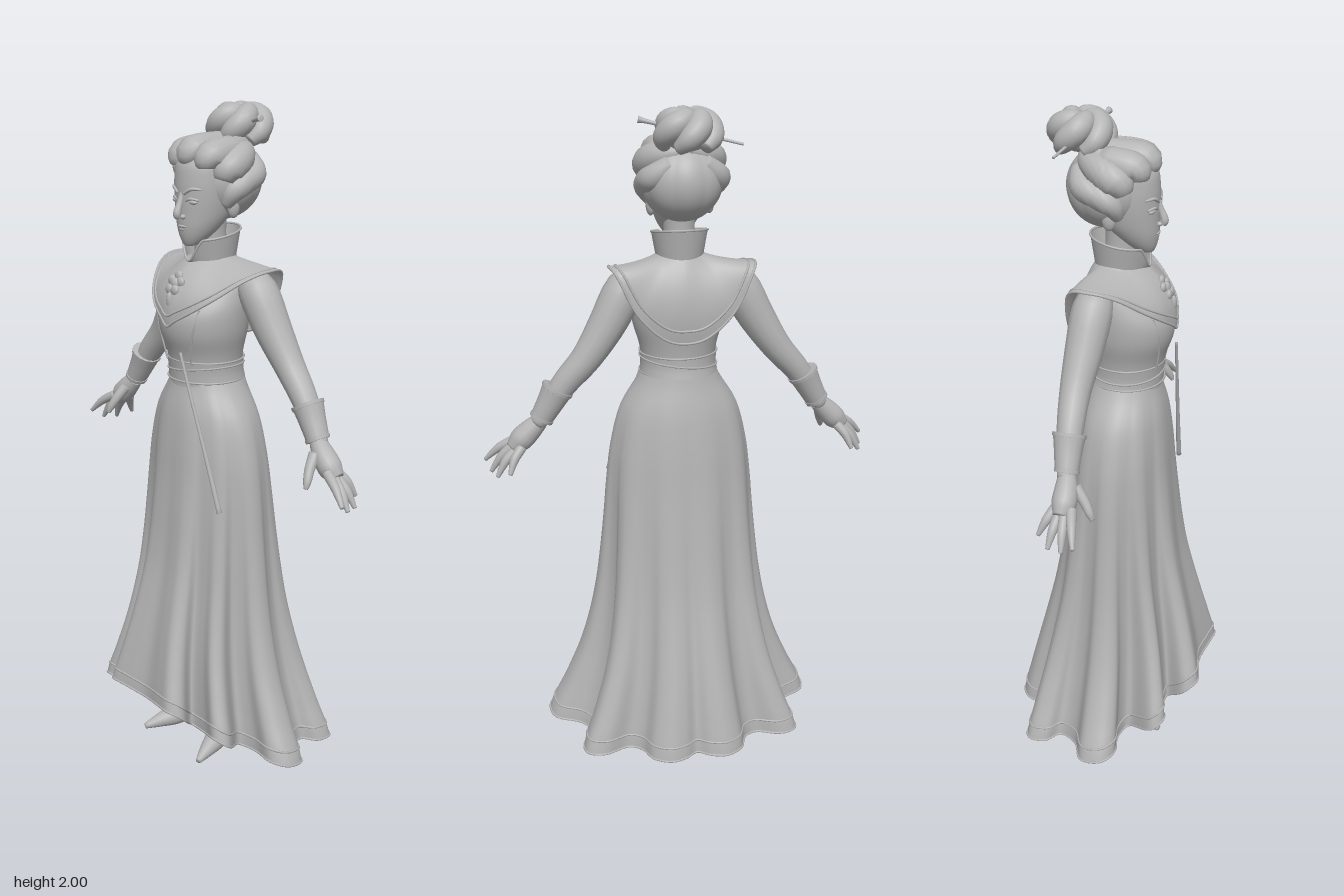
import * as THREE from 'three';

const grey = new THREE.MeshStandardMaterial({ color: 0xb4b4b4, side: THREE.DoubleSide });
grey.name = 'plain grey';
const V = (x, y, z) => new THREE.Vector3(x, y, z);
const TAU = Math.PI * 2;
const step = THREE.MathUtils.smoothstep;

// Smooth interpolation through rows of numbers, u from 0 to 1
function sample(rows, u, closed = false) {
  const n = rows.length, spans = closed ? n : n - 1;
  const i = Math.min(Math.floor(u * spans), spans - 1), t = u * spans - i;
  const at = k => rows[closed ? (k + n) % n : Math.min(Math.max(k, 0), n - 1)];
  const [a, b, c, d] = [at(i - 1), at(i), at(i + 1), at(i + 2)];
  return b.map((v, k) => 0.5 * (2 * v + (c[k] - a[k]) * t + (2 * a[k] - 5 * v + 4 * c[k] - d[k]) * t * t
    + (3 * v - a[k] - 3 * c[k] + d[k]) * t * t * t));
}

// Half outline from front to back, mirrored into a closed loop
const mirrored = half => half.concat(half.slice(1, -1).reverse().map(([x, ...r]) => [-x, ...r]));

// Skin over closed rings: point(u, v), u around from the front, v from bottom to top
function loft(name, nu, nv, point) {
  const pos = [], idx = [];
  for (let i = 0; i <= nv; i++) for (let j = 0; j < nu; j++) {
    pos.push(...point(j / nu, i / nv).toArray());
    if (i === nv) continue;
    const a = i * nu + j, b = i * nu + (j + 1) % nu;
    idx.push(a, b, b + nu, a, b + nu, a + nu);
  }
  const g = new THREE.BufferGeometry();
  g.setAttribute('position', new THREE.Float32BufferAttribute(pos, 3));
  g.setIndex(idx);
  g.computeVertexNormals();
  const m = new THREE.Mesh(g, grey);
  m.name = name;
  return m;
}

// Elliptical body from rows [y, rx, rz, zCentre]
const body = (name, rows, nv = 32) => loft(name, 40, nv, (u, v) => {
  const [y, rx, rz, cz] = sample(rows, v);
  return V(rx * Math.sin(u * TAU), y, cz + rz * Math.cos(u * TAU));
});

// Ellipsoid with an optional ripple
const ball = (name, c, r, ripple = () => 1, n = 24) => loft(name, n, Math.ceil(n / 2), (u, v) => {
  const p = (v - 0.5) * Math.PI, k = ripple(u * TAU), h = Math.cos(p) * k;
  return V(c[0] + r[0] * h * Math.sin(u * TAU), c[1] + r[1] * Math.sin(p), c[2] + r[2] * h * Math.cos(u * TAU));
});

// Rounded limb along rows [x, y, z, radius]
function limb(name, rows, nu = 14, nv = 20) {
  const at = v => sample(rows, Math.min(Math.max(v, 0), 1));
  return loft(name, nu, nv + 2, (u, w) => {
    const k = Math.round(w * (nv + 2)), v = Math.min(Math.max(k - 1, 0), nv) / nv;
    const [x, y, z, r] = at(v);
    const t = V(...at(v + 0.02)).sub(V(...at(v - 0.02))).normalize();
    const e1 = V(0, 0, 1).addScaledVector(t, -t.z);
    if (e1.length() < 0.3) e1.set(0, 1, 0).addScaledVector(t, -t.y);
    e1.normalize();
    const e2 = t.clone().cross(e1), rad = k === 0 || k === nv + 2 ? 0.0005 : r;
    return V(x, y, z).addScaledVector(e1, rad * Math.cos(u * TAU)).addScaledVector(e2, rad * Math.sin(u * TAU));
  });
}

// Thin piping along a curve
function piping(name, pts, r, closed = false, n = 200) {
  const m = new THREE.Mesh(new THREE.TubeGeometry(new THREE.CatmullRomCurve3(pts, closed), n, r, 6, closed), grey);
  m.name = name;
  return m;
}
const loop = (f, n = 120) => Array.from({ length: n }, (_, i) => f(i / n));

// Skirt: scalloped hem [x, z], and [rx, rz] with s from waist to hem
const hem = mirrored([[0, .274], [.08, .288], [.14, .295], [.168, .258], [.135, .2], [.2, .2], [.268, .222], [.3, .185],
  [.245, .105], [.3, .08], [.375, .09], [.42, .055], [.41, -.01], [.335, -.05], [.3, -.11], [.338, -.15], [.335, -.205],
  [.28, -.222], [.21, -.198], [.165, -.22], [.14, -.275], [.09, -.303], [.04, -.293], [0, -.268]]);
const flare = [[.113, .105], [.178, .129], [.21, .144], [.226, .155], [.237, .168], [.25, .182], [.266, .2],
  [.29, .225], [.325, .252], [.375, .278], [.43, .3]];
const hemDrop = [[.05], [.052], [.06], [.073], [.097], [.155], [.235]];
function skirtPoint(u, s) {
  const a = u * TAU, w = Math.pow(s, 1.3);
  const [hx, hz] = sample(hem, u, true), [rx, rz] = sample(flare, s);
  const bottom = sample(hemDrop, THREE.MathUtils.clamp((hz + 0.3) / 0.6, 0, 1))[0];
  return V(rx * THREE.MathUtils.lerp(Math.sin(a), hx / 0.43, w), THREE.MathUtils.lerp(1.225, bottom, s),
    0.02 * (1 - s) + rz * THREE.MathUtils.lerp(Math.cos(a), hz / 0.3, w));
}

// Shoulder cape: pointed outer edge, swelling outward on the way to the neck
const capeEdge = mirrored([[0, 1.385, .172], [.03, 1.404, .168], [.085, 1.437, .15], [.14, 1.478, .11], [.19, 1.528, .045],
  [.214, 1.55, -.025], [.2, 1.535, -.09], [.145, 1.425, -.108], [.07, 1.35, -.108], [0, 1.33, -.106]]);
function capePoint(u, v) {
  const a = u * TAU, k = 4 * v * (1 - v), side = Math.abs(Math.sin(a));
  return V(...sample(capeEdge, u, true)).lerp(V(.066 * Math.sin(a), 1.575, .064 * Math.cos(a)), v)
    .add(V(0, k * (0.015 - 0.02 * side), k * (Math.cos(a) > 0 ? 0.032 : 0.024) * Math.cos(a)));
}

function makeHair() {
  const hair = new THREE.Group();
  hair.name = 'hair';
  hair.add(ball('backHair', [0, 1.79, -.03], [.118, .116, .119], a => 0.98 + 0.03 * Math.abs(Math.cos(a * 4)), 96));
  // Full rolls swept from the hairline back to the bun
  for (let i = -2; i <= 2; i++) {
    const a = i * 0.7, x = Math.sin(a), c = Math.cos(a);
    hair.add(limb('frontRoll', [[.09 * x, 1.785 + .06 * c, .025 + .055 * c, .028], [.09 * x, 1.815 + .056 * c, .01 + .066 * c, .045],
      [.085 * x, 1.845 + .034 * c, -.03 + .03 * c, .044], [.05 * x, 1.865 + .02 * c, -.07, .034], [0, 1.885, -.1, .014]]));
  }
  for (const s of [-1, 1])
    hair.add(limb('sideRoll', [[s * .082, 1.725, .02, .016], [s * .098, 1.765, .005, .032], [s * .1, 1.79, -.035, .036],
      [s * .088, 1.81, -.08, .036], [s * .045, 1.85, -.1, .024]]));
  // Bun of overlapping coils
  hair.add(ball('bunCore', [0, 1.935, -.105], [.07, .055, .07]));
  for (let i = 0; i < 5; i++) {
    const coil = [[0, .064, -.036, .018], [.5, .07, -.008, .031], [1, .058, .022, .036], [1.5, .034, .042, .03], [2.1, .01, .05, .016]];
    hair.add(limb('bunCoil', coil.map(([d, r, y, w]) =>
      [r * Math.sin(i * TAU / 5 + d), 1.93 + y, -.105 + r * Math.cos(i * TAU / 5 + d), w])));
  }
  hair.add(limb('hairpin', [[-.15, 1.9, -.14, .004], [0, 1.935, -.1, .005], [.1, 1.958, -.073, .006], [.13, 1.965, -.065, .01]]));
  return hair;
}

function makeHead() {
  const g = new THREE.Group();
  g.name = 'head';
  g.add(body('face', [[1.608, .004, .004, .09], [1.613, .022, .022, .08], [1.635, .043, .047, .064], [1.665, .061, .068, .048],
    [1.7, .074, .082, .035], [1.75, .083, .088, .03], [1.8, .086, .092, .025], [1.85, .08, .085, .02], [1.9, .04, .04, .01]]));
  g.add(limb('nose', [[0, 1.765, .108, .009], [0, 1.735, .12, .009], [0, 1.705, .131, .012], [0, 1.693, .126, .01]]));
  g.add(ball('upperLip', [0, 1.667, .111], [.019, .005, .008]), ball('lowerLip', [0, 1.658, .107], [.015, .006, .01]));
  for (const s of [-1, 1]) {
    g.add(ball('nostril', [s * .01, 1.695, .118], [.008, .007, .009]));
    g.add(ball('eye', [s * .035, 1.737, .102], [.017, .007, .01]));
    g.add(limb('eyelid', [[s * .017, 1.739, .113, .003], [s * .035, 1.747, .111, .004], [s * .055, 1.743, .097, .003]]));
    g.add(limb('eyebrow', [[s * .013, 1.76, .116, .005], [s * .038, 1.774, .11, .005], [s * .062, 1.773, .093, .003]]));
    g.add(ball('ear', [s * .086, 1.72, -.005], [.014, .032, .02]));
  }
  g.add(makeHair());
  return g;
}

function makeArm(s) {
  const g = new THREE.Group(), L = (name, rows) => g.add(limb(name, rows.map(([x, ...r]) => [s * x, ...r])));
  g.name = s > 0 ? 'leftArm' : 'rightArm';
  L('sleeve', [[.13, 1.515, -.025, .045], [.17, 1.478, -.03, .059], [.222, 1.385, -.038, .055], [.285, 1.29, -.045, .045],
    [.35, 1.215, -.04, .039], [.405, 1.135, -.033, .031], [.435, 1.09, -.028, .025]]);
  L('cuff', [[.374, 1.194, -.036, .046], [.394, 1.157, -.034, .04], [.422, 1.108, -.03, .034]]);
  L('cuffRim', [[.371, 1.199, -.036, .049], [.376, 1.19, -.036, .048]]);
  L('cuffBand', [[.419, 1.113, -.03, .037], [.424, 1.104, -.03, .036]]);
  L('palm', [[.425, 1.1, -.028, .025], [.455, 1.07, -.022, .033], [.485, 1.04, -.02, .035], [.51, 1.016, -.022, .022]]);
  L('thumb', [[.442, 1.075, 0, .018], [.452, 1.04, .028, .015], [.462, 1.01, .046, .012], [.466, .99, .055, .006]]);
  // Four spread fingers from knuckle to tip
  [[.497, 1.035, .005, .589, .965, .036], [.505, 1.022, -.012, .575, .94, -.002],
    [.5, 1.015, -.03, .56, .937, -.045], [.485, 1.025, -.045, .525, .955, -.083]].forEach(([x, y, z, X, Y, Z]) =>
    L('finger', [[x, y, z, .015], [(x + X) / 2 + .004, (y + Y) / 2 + .006, (z + Z) / 2, .013], [X, Y, Z, .006]]));
  return g;
}

function makeLeg(s) {
  const g = new THREE.Group();
  g.name = s > 0 ? 'leftLeg' : 'rightLeg';
  g.add(limb('shoe', [[0, .013, .185, .009], [0, .026, .13, .024], [0, .04, .07, .036], [0, .07, .01, .039],
    [0, .095, -.04, .038], [0, .095, -.085, .03]]));
  g.add(limb('bootLeg', [[0, .085, -.045, .038], [0, .15, -.035, .036], [0, .27, -.03, .046], [0, .45, -.01, .052], [0, .7, 0, .06]]));
  g.add(limb('heel', [[0, .09, -.085, .028], [0, .045, -.093, .018], [0, .003, -.098, .013]]));
  g.position.set(s * .075, 0, 0);
  g.rotation.y = s * 0.34;
  return g;
}

export function createModel() {
  const g = new THREE.Group();
  g.name = 'ladyInGown';
  g.add(loft('skirt', 230, 48, (u, v) => skirtPoint(u, 1 - v)));
  for (const s of [0.965, 1]) g.add(piping('hemTrim', loop(u => skirtPoint(u, s), 230), .0035, true, 460));

  // Bodice, belt and seams
  g.add(body('bodice', [[1.2, .113, .108, .022], [1.25, .11, .105, .027], [1.3, .117, .112, .03], [1.36, .134, .127, .035],
    [1.42, .141, .13, .032], [1.47, .14, .112, .016], [1.52, .13, .085, -.002], [1.56, .09, .068, -.002], [1.59, .05, .05, 0]]));
  g.add(body('belt', [[1.215, .117, .111, .022], [1.245, .114, .109, .026], [1.278, .117, .111, .028]], 6));
  for (const [y, tilt] of [[1.217, 0], [1.25, .014], [1.277, 0]])
    g.add(piping('beltEdge', loop(u => V(.116 * Math.sin(u * TAU), y + tilt * Math.sin(u * TAU), .026 + .11 * Math.cos(u * TAU)), 40), .003, true));
  for (const s of [-1, 1])
    g.add(piping('bodiceSeam', [V(s * .055, 1.27, .127), V(s * .066, 1.33, .137), V(s * .082, 1.39, .139), V(s * .088, 1.44, .125)], .003, false, 24));

  // Cape, standing collar and brooch
  g.add(loft('cape', 120, 16, capePoint));
  for (const v of [0, 0.13]) g.add(piping('capeTrim', loop(u => capePoint(u, v)), .0038, true));
  const collarPoint = (u, v) => {
    const a = u * TAU, front = Math.min(u, 1 - u) * TAU, r = .066 + .016 * v;
    const top = .015 + .06 * step(front, 0, .65) + .03 * (1 - Math.cos(a)) / 2;
    return V(r * Math.sin(a), 1.55 + v * top, .004 + (r + .004) * Math.cos(a));
  };
  g.add(loft('collar', 64, 8, collarPoint));
  g.add(piping('collarTrim', loop(u => collarPoint(u, 1), 64), .0035, true));
  g.add(body('neck', [[1.52, .058, .058, 0], [1.58, .048, .05, .005], [1.64, .045, .048, .01], [1.72, .05, .052, .01]], 12));
  const brooch = new THREE.Group();
  brooch.name = 'brooch';
  for (let i = 0; i < 5; i++) {
    const a = i / 5 * TAU;
    brooch.add(ball('petal', [.02 * Math.sin(a), 1.505 + .02 * Math.cos(a), .139 - .014 * Math.cos(a)], [.016, .016, .01], undefined, 16));
  }
  brooch.add(ball('stone', [0, 1.505, .14], [.018, .018, .012], undefined, 16));
  brooch.add(ball('pendant', [0, 1.46, .162], [.01, .024, .009], undefined, 12));
  g.add(brooch);

  // Thin rod tucked into the belt
  g.add(limb('rod', [[.048, 1.315, .162, .004], [.085, 1.2, .157, .005], [.14, 1.04, .15, .006], [.2, .86, .143, .008]]));

  g.add(makeHead());
  for (const s of [-1, 1]) g.add(makeArm(s), makeLeg(s));
  return g;
}
